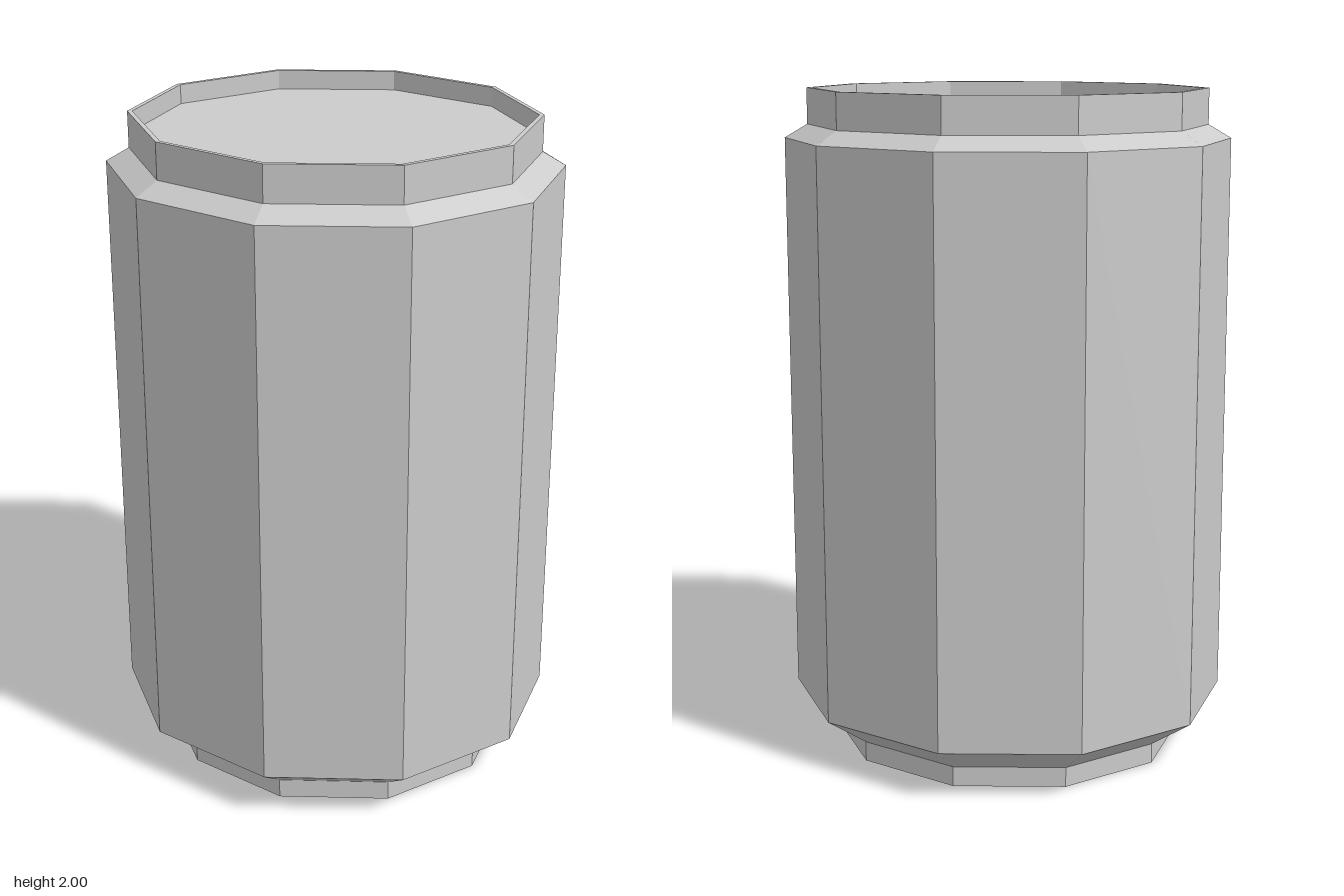
import * as THREE from 'three';

const SIDES = 10;

export function createModel() {
  const can = new THREE.Group();
  can.name = 'can';
  const material = new THREE.MeshStandardMaterial({ color: 0xcccccc, flatShading: true });

  // Ten-sided lathe part; profile is [radius, height] pairs, listed from the bottom up.
  function addPart(name, profile) {
    const points = profile.map(([r, y]) => new THREE.Vector2(r, y));
    const geometry = new THREE.LatheGeometry(points, SIDES);
    // Widen so that the flat sides reach as far in x as the corners do in z.
    geometry.scale(1 / Math.cos(Math.PI / SIDES), 1, 1);
    const mesh = new THREE.Mesh(geometry, material);
    mesh.name = name;
    can.add(mesh);
  }

  // Foot ring around a recessed base
  addPart('base', [[0, 0.035], [0.499, 0.035], [0.499, 0], [0.51, 0], [0.51, 0.06]]);
  // Main wall with tapered lower and upper shoulders
  addPart('body', [[0.51, 0.06], [0.635, 0.15], [0.635, 1.853], [0.57, 1.893]]);
  // Raised rim around a recessed lid
  addPart('lid', [[0.57, 1.893], [0.57, 2], [0.556, 2], [0.556, 1.942], [0, 1.942]]);

  return can;
}
